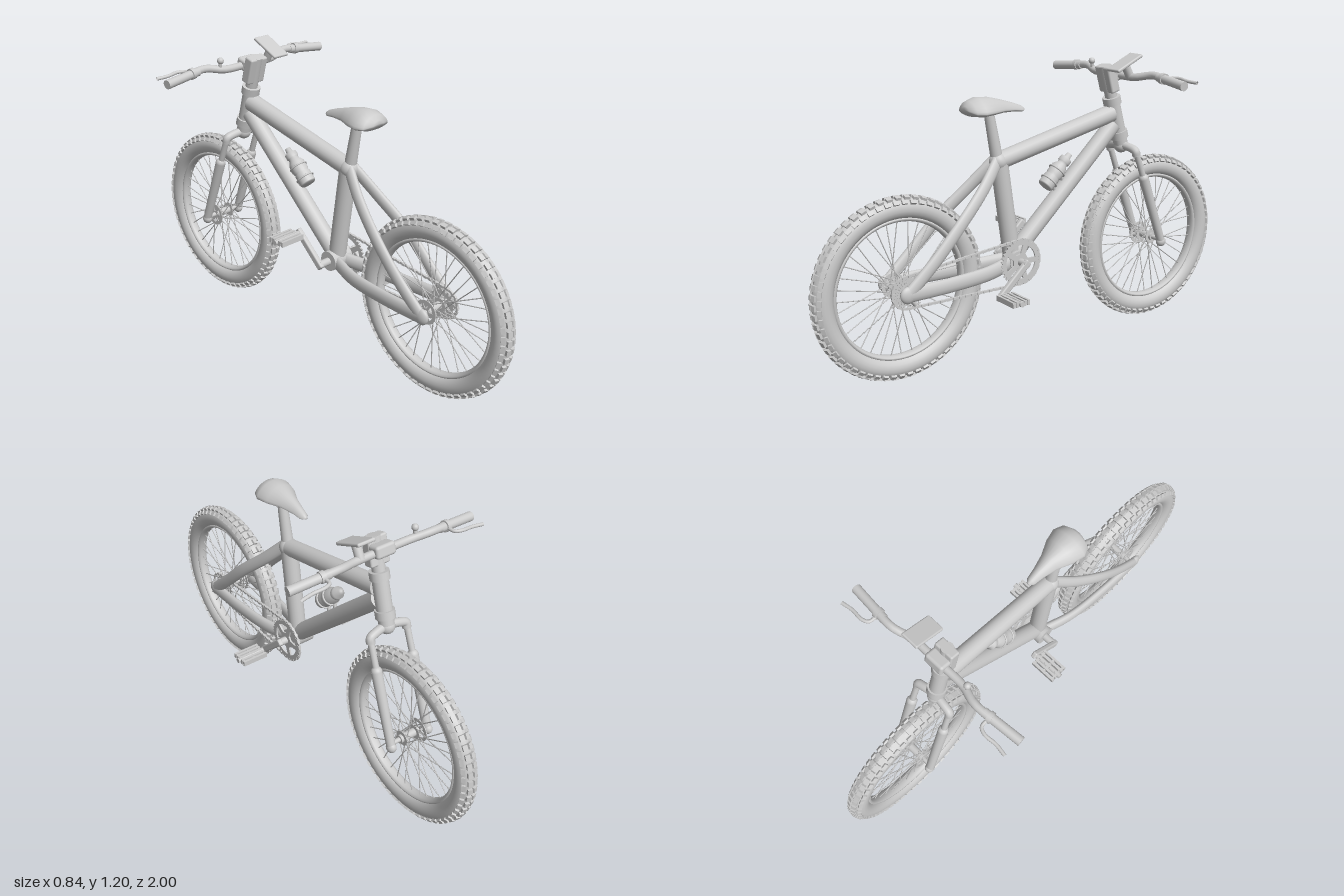
import * as THREE from 'three';
import { mergeGeometries } from 'three/addons/utils/BufferGeometryUtils.js';
import { RoundedBoxGeometry } from 'three/addons/geometries/RoundedBoxGeometry.js';

const grey = new THREE.MeshStandardMaterial({ color: 0xcccccc, side: THREE.DoubleSide });
const V = (p) => new THREE.Vector3(...p);
const UP = new THREE.Vector3(0, 1, 0);
const TILT = 0.275; // lean of the steering axis

export function createModel() {
  const bike = new THREE.Group();
  bike.name = 'bicycle';

  const add = (name, geo, pos = [0, 0, 0], rotX = 0, parent = bike) => {
    const m = new THREE.Mesh(geo, grey);
    m.name = name;
    m.position.set(...pos);
    m.rotation.x = rotX;
    parent.add(m);
    return m;
  };
  // Straight, optionally tapered bar between two points
  const rodGeo = (a, b, r0, r1 = r0, seg = 20) => {
    const d = V(b).sub(V(a));
    return new THREE.CylinderGeometry(r1, r0, d.length(), seg)
      .applyQuaternion(new THREE.Quaternion().setFromUnitVectors(UP, d.clone().normalize()))
      .translate(...V(a).addScaledVector(d, 0.5).toArray());
  };
  const rod = (name, a, b, r0, r1, parent) => add(name, rodGeo(a, b, r0, r1), [0, 0, 0], 0, parent);
  // Curved bar, flattened sideways by the factor flat
  const tube = (name, pts, r, flat = 1) => {
    const curve = new THREE.CatmullRomCurve3(pts.map(([x, y, z]) => V([x / flat, y, z])));
    return add(name, new THREE.TubeGeometry(curve, 32, r, 14).scale(flat, 1, 1));
  };
  const ball = (name, p, r, sx = 1) => add(name, new THREE.SphereGeometry(r, 20, 14).scale(sx, 1, 1), p);
  // Point on the steering axis at height y
  const steer = (y) => [0, y, -0.375 - (1.14 - y) * 0.28];

  // Wheels
  const makeWheel = (name, z) => {
    const w = new THREE.Group();
    w.name = name;
    w.position.set(0, 0.37, z);
    bike.add(w);
    const ring = (r, a, b, n) => new THREE.LatheGeometry(Array.from({ length: n + 1 }, (_, i) => {
      const t = (i / n) * Math.PI * 2;
      return new THREE.Vector2(r + a * Math.cos(t), b * Math.sin(t));
    }), 72).rotateZ(Math.PI / 2);
    add('tyre', ring(0.318, 0.041, 0.037, 18), [0, 0, 0], 0, w);
    add('rim', ring(0.277, 0.011, 0.022, 10), [0, 0, 0], 0, w);
    // Tread blocks in four staggered rows
    const knobs = [];
    const count = 60;
    for (let i = 0; i < count; i++) {
      [-0.9, -0.3, 0.3, 0.9].forEach((phi) => {
        const outer = Math.abs(phi) > 0.5;
        const g = new THREE.BoxGeometry(outer ? 0.016 : 0.019, 0.014, 0.023);
        g.rotateZ(-phi);
        g.translate(0.037 * Math.sin(phi), 0.318 + 0.043 * Math.cos(phi), 0);
        knobs.push(g.rotateX(((i + (outer ? 0.5 : 0)) / count) * Math.PI * 2));
      });
    }
    add('treadBlocks', mergeGeometries(knobs), [0, 0, 0], 0, w);
    // Crossed spokes from alternate hub flanges
    const spokes = [];
    for (let i = 0; i < 36; i++) {
      const a = (i / 36) * Math.PI * 2, h = a + (i % 4 < 2 ? 0.9 : -0.9), x = i % 2 ? 0.03 : -0.03;
      spokes.push(rodGeo([x, 0.027 * Math.cos(h), 0.027 * Math.sin(h)],
        [0, 0.272 * Math.cos(a), 0.272 * Math.sin(a)], 0.0022, 0.0022, 5));
    }
    add('spokes', mergeGeometries(spokes), [0, 0, 0], 0, w);
    rod('axle', [-0.1, 0, 0], [0.1, 0, 0], 0.01, 0.01, w);
    rod('hub', [-0.045, 0, 0], [0.045, 0, 0], 0.017, 0.017, w);
    [-1, 1].forEach((s) => rod('hubFlange', [s * 0.027, 0, 0], [s * 0.033, 0, 0], 0.031, 0.031, w));
    add('brakeDisc', cog(0.05, 0.036, 0, 6, 0.003), [-0.05, 0, 0], 0, w);
    return w;
  };

  // Spoked disc in the yz plane, with optional teeth
  function cog(r, inner, teeth, arms, depth) {
    const n = teeth ? teeth * 4 : 48;
    const at = (t, q) => new THREE.Vector2(q * Math.cos(t), q * Math.sin(t));
    const shape = new THREE.Shape(Array.from({ length: n }, (_, i) =>
      at((i / n) * Math.PI * 2, teeth && i % 4 > 1 ? r - 0.007 : r)));
    for (let k = 0; k < arms; k++) {
      const a = (k / arms) * Math.PI * 2, span = (Math.PI * 2) / arms;
      const pts = [];
      for (let j = 0; j <= 8; j++) pts.push(at(a + span * (0.12 + 0.095 * j), inner));
      pts.push(at(a + span * 0.75, inner * 0.5), at(a + span * 0.25, inner * 0.5));
      shape.holes.push(new THREE.Path(pts));
    }
    return new THREE.ExtrudeGeometry(shape, { depth, bevelEnabled: false })
      .translate(0, 0, -depth / 2).rotateY(Math.PI / 2);
  }
  const rear = makeWheel('rearWheel', 0.63);
  makeWheel('frontWheel', -0.63);

  // Frame
  rod('topTube', [0, 0.81, 0.17], [0, 0.945, -0.41], 0.036, 0.038);
  rod('downTube', [0, 0.42, 0.09], [0, 0.895, -0.42], 0.036, 0.036);
  rod('seatTube', [0, 0.81, 0.165], [0, 0.395, 0.105], 0.036, 0.036);
  ball('seatCluster', [0, 0.81, 0.17], 0.039);
  rod('bottomBracket', [-0.05, 0.395, 0.105], [0.05, 0.395, 0.105], 0.042, 0.042);
  rod('headTube', steer(0.85), steer(1.0), 0.032, 0.032);
  [0.85, 1.0].forEach((y) => rod('headCollar', steer(y - 0.016), steer(y + 0.016), 0.039, 0.039));
  [-1, 1].forEach((s) => {
    tube('seatStay', [[s * 0.012, 0.815, 0.18], [s * 0.05, 0.715, 0.275], [s * 0.082, 0.6, 0.4],
      [s * 0.09, 0.48, 0.52], [s * 0.088, 0.37, 0.64]], 0.026, 0.62);
    tube('chainStay', [[s * 0.088, 0.37, 0.64], [s * 0.08, 0.37, 0.45], [s * 0.06, 0.375, 0.26],
      [s * 0.02, 0.39, 0.12]], 0.031, 0.55);
    ball('dropout', [s * 0.088, 0.37, 0.64], 0.034, 0.5);
  });

  // Saddle built from dome-shaped cross-sections: z, half width, bottom, top
  rod('seatPost', [0, 0.82, 0.175], [0, 1.03, 0.215], 0.025, 0.02);
  const sections = [[0.32, 0.03, 1.02, 1.045], [0.305, 0.068, 1.005, 1.064], [0.27, 0.082, 1.0, 1.076],
    [0.22, 0.07, 1.002, 1.073], [0.16, 0.042, 1.005, 1.058], [0.1, 0.026, 1.004, 1.04],
    [0.06, 0.019, 1.0, 1.025], [0.045, 0.008, 1.003, 1.014]];
  const N = 24, verts = [], idx = [];
  sections.forEach(([z, w, lo, hi]) => {
    for (let i = 0; i < N; i++) {
      const t = (i / N) * Math.PI * 2, s = Math.sin(t), mid = lo + (hi - lo) * 0.25;
      verts.push(w * Math.cos(t), s > 0 ? mid + (hi - mid) * Math.pow(s, 1.4) : mid + (mid - lo) * s, z);
    }
  });
  const ends = [0, sections.length - 1].map((k) => {
    const [z, , lo, hi] = sections[k];
    verts.push(0, (lo + hi) / 2, z + (k ? -0.004 : 0.004));
    return verts.length / 3 - 1;
  });
  for (let i = 0; i < N; i++) {
    const j = (i + 1) % N, L = (sections.length - 1) * N;
    for (let o = 0; o < L; o += N) idx.push(o + i, o + N + i, o + j, o + j, o + N + i, o + N + j);
    idx.push(ends[0], i, j, ends[1], L + j, L + i);
  }
  const saddle = new THREE.BufferGeometry();
  saddle.setAttribute('position', new THREE.Float32BufferAttribute(verts, 3));
  saddle.setIndex(idx);
  saddle.computeVertexNormals();
  add('saddle', saddle);

  // Suspension fork
  rod('steerer', steer(0.79), steer(0.86), 0.03, 0.032);
  ball('crownBoss', [0, 0.8, -0.47], 0.032);
  tube('forkCrown', [[-0.086, 0.765, -0.485], [-0.084, 0.785, -0.48], [-0.06, 0.795, -0.476], [0, 0.802, -0.47],
    [0.06, 0.795, -0.476], [0.084, 0.785, -0.48], [0.086, 0.765, -0.485]], 0.018);
  [-1, 1].forEach((s) => {
    rod('forkUpper', [s * 0.086, 0.785, -0.48], [s * 0.088, 0.64, -0.535], 0.013, 0.013);
    rod('forkLower', [s * 0.088, 0.66, -0.528], [s * 0.09, 0.36, -0.637], 0.022, 0.018);
    ball('forkShoulder', [s * 0.088, 0.66, -0.528], 0.022);
    ball('forkTip', [s * 0.09, 0.36, -0.637], 0.023, 0.85);
  });

  // Stem, handlebar, grips and levers
  rod('stemColumn', steer(1.01), steer(1.15), 0.026, 0.026);
  add('stem', new RoundedBoxGeometry(0.088, 0.115, 0.045, 2, 0.008), steer(1.095), TILT);
  add('barClamp', new RoundedBoxGeometry(0.088, 0.05, 0.055, 2, 0.012), [0, 1.115, -0.425], TILT);
  tube('handlebar', [[-0.4, 1.107, -0.432], [-0.22, 1.126, -0.45], [-0.19, 1.123, -0.446], [-0.13, 1.111, -0.427],
    [0, 1.11, -0.425], [0.13, 1.111, -0.427], [0.19, 1.123, -0.446], [0.22, 1.126, -0.45],
    [0.4, 1.107, -0.432]], 0.016);
  [-1, 1].forEach((s) => {
    rod('grip', [s * 0.25, 1.122, -0.447], [s * 0.417, 1.106, -0.431], 0.018, 0.019);
    tube('brakeLever', [[s * 0.28, 1.12, -0.445], [s * 0.283, 1.12, -0.49], [s * 0.31, 1.12, -0.503],
      [s * 0.36, 1.115, -0.5], [s * 0.41, 1.112, -0.507]], 0.007);
    rod('leverClamp', [s * 0.272, 1.121, -0.446], [s * 0.29, 1.119, -0.444], 0.023, 0.023);
  });
  rod('bellStem', [-0.15, 1.11, -0.43], [-0.15, 1.145, -0.425], 0.008, 0.008);
  ball('bell', [-0.15, 1.152, -0.424], 0.014);
  rod('displayMount', [0.1, 1.11, -0.425], [0.1, 1.165, -0.395], 0.018, 0.018);
  add('display', new RoundedBoxGeometry(0.078, 0.014, 0.142, 3, 0.006), [0.1, 1.17, -0.395], 0.43);

  // Drivetrain
  const BB = [0.395, 0.105];
  rod('crankSpindle', [-0.1, ...BB], [0.11, ...BB], 0.016, 0.016);
  add('chainring', cog(0.096, 0.072, 36, 5, 0.007), [0.062, ...BB]);
  [[0.063, 0.045], [0.052, 0.051], [0.041, 0.057]].forEach(([r, x]) =>
    add('sprocket', cog(r, r * 0.7, 22, 5, 0.003), [x, 0, 0], 0, rear));
  // Chain links set along a belt round both cogs
  const path = [];
  const arc = (y, z, r, from) => {
    for (let i = 0; i <= 10; i++) {
      const t = from + (i / 10) * Math.PI;
      path.push(new THREE.Vector3(0.06, y + r * Math.cos(t), z + r * Math.sin(t)));
    }
  };
  arc(0.37, 0.63, 0.064, 0);
  arc(BB[0], BB[1], 0.094, Math.PI);
  const belt = new THREE.CurvePath();
  path.forEach((p, i) => {
    const q = path[(i + 1) % path.length];
    if (p.distanceTo(q) > 1e-4) belt.add(new THREE.LineCurve3(p, q));
  });
  const links = [];
  for (let i = 0; i < 110; i++) {
    const p = belt.getPointAt(i / 110), d = belt.getTangentAt(i / 110);
    links.push(new THREE.BoxGeometry(i % 2 ? 0.012 : 0.007, 0.009, 0.015)
      .rotateX(Math.atan2(-d.y, d.z)).translate(p.x, p.y, p.z));
  }
  add('chain', mergeGeometries(links));
  // Rear gear shifter arm with its guide wheel
  rod('shifterArm', [0.065, 0.36, 0.63], [0.06, 0.315, 0.595], 0.009, 0.009);
  add('guideWheel', cog(0.022, 0.014, 10, 3, 0.005), [0.06, 0.318, 0.595]);

  // Cranks and pedals, one each way
  [1, -1].forEach((s) => {
    const y = BB[0] - s * 0.107, z = BB[1] + s * 0.115;
    const len = Math.hypot(0.107, 0.115);
    add('crank', new RoundedBoxGeometry(0.022, len + 0.034, 0.03, 2, 0.007),
      [s * 0.1, (BB[0] + y) / 2, (BB[1] + z) / 2], -Math.atan2(0.115, 0.107));
    rod('pedalAxle', [s * 0.1, y, z], [s * 0.24, y, z], 0.011, 0.011);
    for (let i = -2; i <= 2; i++)
      add('pedalSlat', new THREE.BoxGeometry(0.115, 0.022, 0.01), [s * 0.174, y, z + i * 0.0175]);
    [-0.05, 0, 0.05].forEach((dx) =>
      add('pedalRib', new THREE.BoxGeometry(0.01, 0.016, 0.078), [s * 0.174 + dx, y, z]));
  });

  // Bottle held by a cage on the down tube
  const bottle = [[0, 0], [0.03, 0], [0.034, 0.006], [0.034, 0.05], [0.03, 0.056], [0.034, 0.062], [0.034, 0.1],
    [0.022, 0.118], [0.022, 0.128], [0.026, 0.13], [0.026, 0.15], [0.014, 0.155], [0.012, 0.175], [0, 0.177]];
  add('bottle', new THREE.LatheGeometry(bottle.map(([x, y]) => new THREE.Vector2(x, y)), 24),
    [0, 0.675, -0.062], -0.82);
  [0.03, 0.085].forEach((d) => {
    const y = 0.675 + d * 0.68, z = -0.062 - d * 0.73;
    add('cageHoop', new THREE.TorusGeometry(0.036, 0.004, 8, 28).rotateX(Math.PI / 2), [0, y, z], -0.82);
    rod('cageBracket', [0, y - 0.022, z - 0.024], [0, y - 0.065, z - 0.06 + 0.025], 0.008, 0.008);
  });
  return bike;
}
